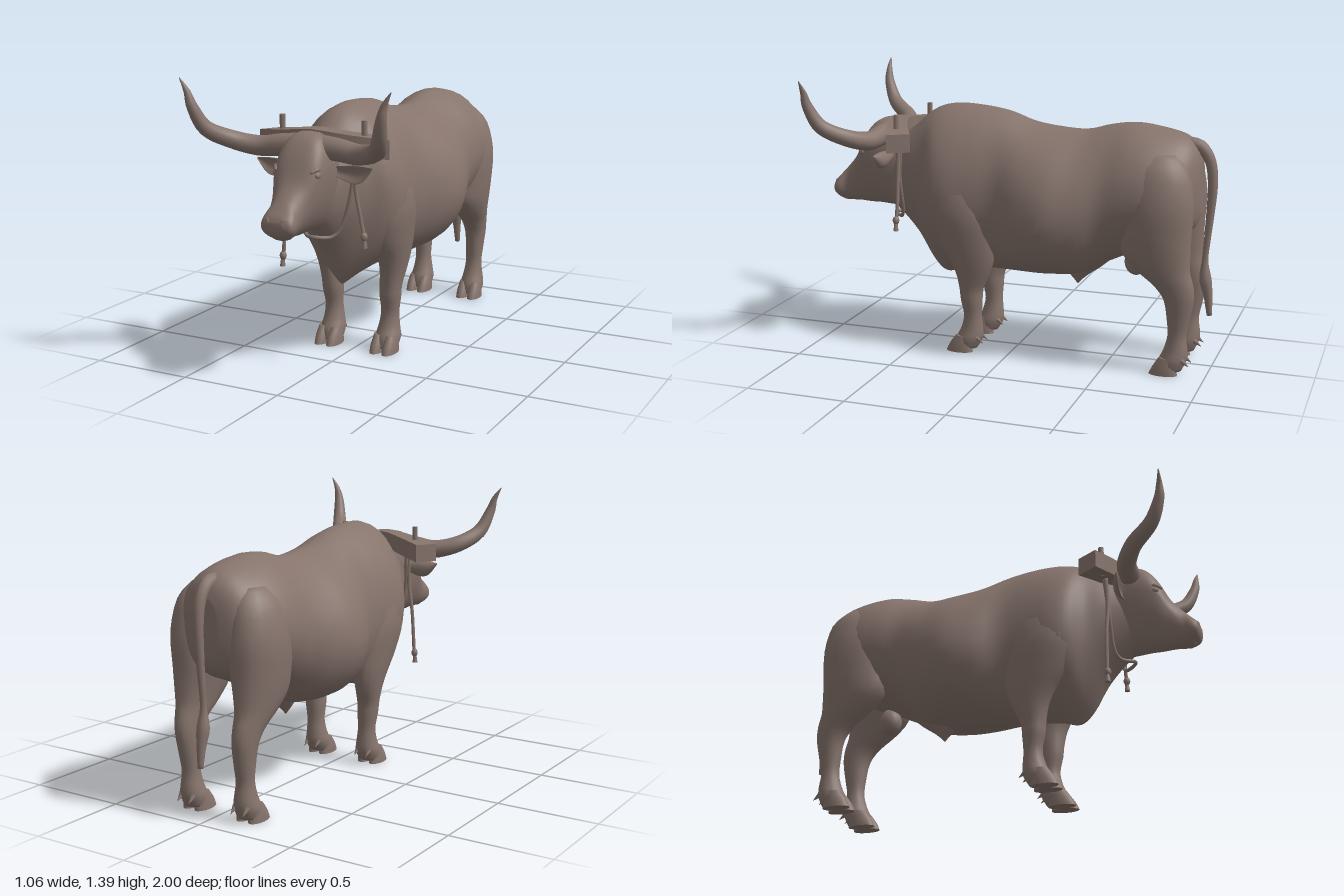
import * as THREE from 'three';
import { toCreasedNormals } from 'three/addons/utils/BufferGeometryUtils.js';

const hide = new THREE.MeshStandardMaterial({ color: 0x86746c });
hide.name = 'brown hide';

// Smoothly interpolate the rows of a section table
function refine(rows, steps) {
  const out = [], at = i => rows[Math.max(0, Math.min(rows.length - 1, i))];
  for (let i = 0; i < rows.length - 1; i++) {
    for (let s = 0; s < steps; s++) {
      const t = s / steps;
      out.push(rows[i].map((b, k) => {
        const a = at(i - 1)[k], c = at(i + 1)[k], d = at(i + 2)[k];
        return b + 0.5 * t * (c - a + t * (2 * a - 5 * b + 4 * c - d + t * (3 * (b - c) + d - a)));
      }));
    }
  }
  out.push(rows[rows.length - 1]);
  return out;
}

// Skin closed rings of points, cap both ends, and make the faces point outward
function loft(rings) {
  const n = rings[0].length, pos = [], idx = [];
  rings.forEach(r => r.forEach(p => pos.push(...p)));
  for (let i = 0; i < rings.length - 1; i++) {
    for (let j = 0; j < n; j++) {
      const a = i * n + j, b = i * n + (j + 1) % n;
      idx.push(a, b, a + n, b, b + n, a + n);
    }
  }
  [0, rings.length - 1].forEach(i => {
    const c = pos.length / 3, r = rings[i];
    pos.push(...[0, 1, 2].map(k => r.reduce((s, p) => s + p[k], 0) / n));
    for (let j = 0; j < n; j++) {
      const a = i * n + j, b = i * n + (j + 1) % n;
      if (i) idx.push(a, b, c); else idx.push(b, a, c);
    }
  });
  const v = i => new THREE.Vector3().fromArray(pos, i * 3);
  let volume = 0;
  for (let i = 0; i < idx.length; i += 3) volume += v(idx[i]).dot(v(idx[i + 1]).cross(v(idx[i + 2])));
  if (volume < 0) idx.reverse();
  const g = new THREE.BufferGeometry();
  g.setAttribute('position', new THREE.Float32BufferAttribute(pos, 3));
  g.setIndex(idx);
  g.computeVertexNormals();
  return g;
}

const circle = (n, f) => Array.from({ length: n }, (_, j) => {
  const a = j / n * Math.PI * 2;
  return f(Math.cos(a), Math.sin(a));
});

// Trunk sections: z, bottom, top, half width, widest height, upper and lower roundness
const trunk = (rows, steps = 4) => loft(refine(rows, steps).map(([z, yb, yt, w, ym, pt, pb]) =>
  circle(32, (c, s) => [
    Math.sign(c) * w * Math.pow(Math.abs(c), s > 0 ? pt : pb),
    ym + s * (s > 0 ? yt - ym : ym - yb), z])));

// Limb sections: y, centre x, centre z, radius x, radius z
const limb = (rows, side, steps = 3) => loft(refine(rows, steps).map(([y, x, z, rx, rz]) =>
  circle(18, (c, s) => [side * (x + rx * c), y, z + rz * s])));

// Tapered tube along points: x, y, z, radius
function taper(rows, side = 1, steps = 6, n = 12) {
  const pts = refine(rows, steps).map(([x, y, z, r]) => [new THREE.Vector3(side * x, y, z), Math.max(r, 0.002)]);
  let u = null;
  return loft(pts.map(([p, r], i) => {
    const t = pts[Math.min(i + 1, pts.length - 1)][0].clone().sub(pts[Math.max(i - 1, 0)][0]).normalize();
    if (!u) u = new THREE.Vector3(0.31, 0.2, 0.93).cross(t);
    u.addScaledVector(t, -u.dot(t)).normalize();
    const w = t.clone().cross(u);
    return circle(n, (c, s) => p.clone().addScaledVector(u, c * r).addScaledVector(w, s * r).toArray());
  }));
}

export function createModel() {
  const ox = new THREE.Group();
  ox.name = 'yokedOx';
  const add = (name, geometry, x = 0, y = 0, z = 0) => {
    const m = new THREE.Mesh(geometry, hide);
    m.name = name;
    m.position.set(x, y, z);
    ox.add(m);
    return m;
  };

  // Trunk from rump to neck, with the hump, hollow loins and keeled brisket
  add('body', trunk([
    [-0.925, 0.78, 1.03, 0.06, 0.92, 1, 1],
    [-0.90, 0.71, 1.10, 0.15, 0.90, 1, 1],
    [-0.84, 0.66, 1.155, 0.22, 0.88, 1.1, 1],
    [-0.72, 0.61, 1.185, 0.275, 0.87, 1.15, 1],
    [-0.60, 0.56, 1.20, 0.285, 0.86, 1.2, 1],
    [-0.48, 0.505, 1.185, 0.285, 0.82, 1.35, 1],
    [-0.36, 0.44, 1.155, 0.325, 0.77, 1.4, 1],
    [-0.22, 0.42, 1.16, 0.355, 0.75, 1.35, 1],
    [-0.08, 0.415, 1.18, 0.325, 0.75, 1.25, 1],
    [0.05, 0.415, 1.225, 0.27, 0.78, 1.2, 1],
    [0.18, 0.41, 1.245, 0.275, 0.80, 1.2, 1.2],
    [0.30, 0.39, 1.25, 0.285, 0.80, 1.25, 1.6],
    [0.39, 0.37, 1.235, 0.258, 0.83, 1.2, 2.0],
    [0.46, 0.43, 1.20, 0.19, 0.86, 1, 1.9],
    [0.53, 0.55, 1.14, 0.155, 0.90, 1, 1.6],
    [0.60, 0.64, 1.09, 0.125, 0.90, 1, 1.2],
    [0.68, 0.72, 1.04, 0.10, 0.90, 1, 1]]));

  // Head
  add('head', trunk([
    [0.57, 0.74, 1.08, 0.08, 0.95, 1, 1],
    [0.61, 0.70, 1.13, 0.11, 0.97, 0.7, 1],
    [0.68, 0.70, 1.16, 0.122, 0.99, 0.65, 1.1],
    [0.75, 0.705, 1.14, 0.124, 0.99, 0.65, 1.15],
    [0.81, 0.705, 1.07, 0.114, 0.96, 0.7, 1.15],
    [0.865, 0.71, 0.965, 0.09, 0.87, 0.85, 1],
    [0.92, 0.71, 0.90, 0.078, 0.80, 0.9, 0.9],
    [0.96, 0.72, 0.855, 0.084, 0.785, 0.8, 0.8],
    [0.988, 0.74, 0.825, 0.074, 0.78, 0.75, 0.8],
    [1.0, 0.765, 0.80, 0.04, 0.783, 0.8, 0.8]]));
  const lip = add('lowerLip', new THREE.SphereGeometry(0.05, 16, 10), 0, 0.735, 0.935);
  lip.scale.set(1.1, 0.5, 0.8);

  for (const side of [1, -1]) {
    const label = side > 0 ? 'left' : 'right';
    add(label + 'Horn', taper([
      [0.06, 1.09, 0.68, 0.056], [0.15, 1.085, 0.685, 0.052], [0.26, 1.075, 0.70, 0.047],
      [0.37, 1.105, 0.76, 0.042], [0.44, 1.165, 0.86, 0.036], [0.475, 1.265, 0.91, 0.026],
      [0.495, 1.335, 0.92, 0.015], [0.53, 1.395, 0.925, 0.002]], side, 5, 16));

    // Leaf-shaped ear with a hollow front: x, y, half height, half depth
    add(label + 'Ear', loft(refine([
      [0.09, 0.985, 0.022, 0.025], [0.14, 0.977, 0.03, 0.03], [0.20, 0.972, 0.042, 0.034],
      [0.25, 0.978, 0.036, 0.028], [0.30, 1.005, 0.004, 0.005]], 4).map(([x, y, h, d]) =>
      circle(16, (c, s) => [side * x, y + h * c, 0.655 + d * (s > 0 ? s * (0.1 - 0.5 * s * s) : s)]))));

    // Eye, brow and nostril
    const eye = add(label + 'Eye', new THREE.SphereGeometry(0.02, 12, 10), side * 0.106, 0.985, 0.80);
    eye.scale.set(0.7, 0.85, 1.1);
    add(label + 'Brow', taper([[0.10, 1.0, 0.765, 0.006], [0.106, 1.013, 0.80, 0.011],
      [0.09, 1.0, 0.835, 0.006]], side));
    const nostril = add(label + 'Nostril', new THREE.TorusGeometry(0.016, 0.006, 8, 14), side * 0.045, 0.80, 0.985);
    nostril.rotation.y = side * 0.6;

    // Front and hind legs, shoulder and thigh included
    add(label + 'FrontLeg', limb([
      [1.02, 0.13, 0.25, 0.05, 0.07], [0.92, 0.165, 0.26, 0.095, 0.14], [0.75, 0.18, 0.245, 0.11, 0.18],
      [0.60, 0.178, 0.215, 0.092, 0.16], [0.50, 0.178, 0.19, 0.073, 0.12], [0.42, 0.172, 0.185, 0.062, 0.088],
      [0.34, 0.163, 0.195, 0.055, 0.062], [0.28, 0.16, 0.195, 0.053, 0.056], [0.20, 0.157, 0.19, 0.045, 0.046],
      [0.13, 0.155, 0.195, 0.053, 0.056], [0.08, 0.155, 0.208, 0.063, 0.068], [0.03, 0.155, 0.225, 0.056, 0.058]], side));
    add(label + 'HindLeg', limb([
      [1.08, 0.13, -0.74, 0.06, 0.09], [1.0, 0.15, -0.74, 0.105, 0.15], [0.85, 0.165, -0.74, 0.125, 0.178],
      [0.70, 0.165, -0.74, 0.118, 0.172], [0.60, 0.168, -0.745, 0.10, 0.165], [0.52, 0.168, -0.78, 0.08, 0.132],
      [0.45, 0.165, -0.832, 0.063, 0.098], [0.38, 0.162, -0.86, 0.055, 0.073], [0.28, 0.158, -0.86, 0.047, 0.055],
      [0.20, 0.156, -0.855, 0.043, 0.045], [0.13, 0.155, -0.85, 0.053, 0.058], [0.08, 0.155, -0.838, 0.063, 0.068],
      [0.03, 0.155, -0.825, 0.056, 0.058]], side));

    // Cloven hooves and dewclaws
    for (const [leg, z] of [['Front', 0.25], ['Hind', -0.80]]) {
      for (const d of [-0.033, 0.033]) {
        add(label + leg + 'Hoof', toCreasedNormals(limb([
          [0.095, 0.155 + d, z - 0.02, 0.026, 0.04], [0.05, 0.155 + d, z - 0.005, 0.033, 0.058],
          [0.01, 0.155 + d, z + 0.002, 0.034, 0.07]], side, 2), 0.8));
        const claw = add(label + leg + 'Dewclaw', new THREE.ConeGeometry(0.016, 0.05, 8),
          side * (0.155 + d), 0.075, z - 0.104);
        claw.rotation.x = -2.2;
      }
    }

    // Yoke peg, hanging rope and knot
    const low = side > 0 ? 0.62 : 0.48;
    add(label + 'YokePeg', new THREE.CylinderGeometry(0.014, 0.014, 0.16, 8), side * 0.215, 1.125, 0.565);
    add(label + 'HangingRope', taper([[0.175, 1.06, 0.575, 0.01], [0.175, 0.90, 0.58, 0.01],
      [0.20, 0.75, 0.575, 0.009], [0.215, low + 0.06, 0.575, 0.009], [0.22, low + 0.01, 0.575, 0.008]], side, 5, 8));
    const knot = add(label + 'RopeKnot', new THREE.SphereGeometry(0.017, 10, 8), side * 0.217, low + 0.05, 0.577);
    knot.scale.y = 1.3;
    add(label + 'RopeEnd', new THREE.CylinderGeometry(0.007, 0.014, 0.045, 8), side * 0.22, low + 0.02, 0.577);
  }

  // Bowed wooden yoke beam: x, y, z, half height, half depth
  add('yokeBeam', toCreasedNormals(loft(refine([
    [-0.31, 1.08, 0.515, 0.045, 0.05], [-0.16, 1.10, 0.585, 0.045, 0.048], [0, 1.125, 0.625, 0.04, 0.045],
    [0.16, 1.10, 0.585, 0.045, 0.048], [0.31, 1.08, 0.515, 0.045, 0.05]], 3).map(([x, y, z, h, d]) =>
    [[-1, -1], [1, -1], [1, 1], [-1, 1]].map(([a, b]) => [x * (1 + 0.1 * b), y + h * a, z + d * b]))), 0.6));

  // Rope hugging the neck and looping under the throat
  add('throatRope', taper([[-0.165, 1.06, 0.565, 0.01], [-0.155, 0.88, 0.58, 0.01], [-0.11, 0.72, 0.585, 0.009],
    [-0.07, 0.66, 0.61, 0.009], [0, 0.665, 0.67, 0.009], [0.07, 0.66, 0.61, 0.009],
    [0.11, 0.72, 0.585, 0.009], [0.155, 0.88, 0.58, 0.01], [0.165, 1.06, 0.565, 0.01]], 1, 6, 8));

  // Tail with tuft
  add('tail', taper([[0, 1.11, -0.84, 0.035], [0, 1.10, -0.91, 0.032], [0, 1.03, -0.96, 0.027],
    [0, 0.92, -0.975, 0.024], [0, 0.78, -0.968, 0.02], [0, 0.64, -0.957, 0.016], [0, 0.54, -0.95, 0.016],
    [0, 0.45, -0.955, 0.03], [0, 0.37, -0.97, 0.022], [0, 0.27, -0.98, 0.013]], 1, 4));

  // Belly details
  add('sheath', limb([[0.54, 0, -0.36, 0.10, 0.16], [0.47, 0, -0.335, 0.07, 0.105],
    [0.42, 0, -0.32, 0.04, 0.05], [0.385, 0, -0.315, 0.015, 0.015], [0.37, 0, -0.313, 0.004, 0.004]], 1));
  const sac = add('scrotum', new THREE.SphereGeometry(0.058, 16, 12), 0, 0.51, -0.61);
  sac.scale.set(0.9, 1.2, 1);

  return ox;
}
